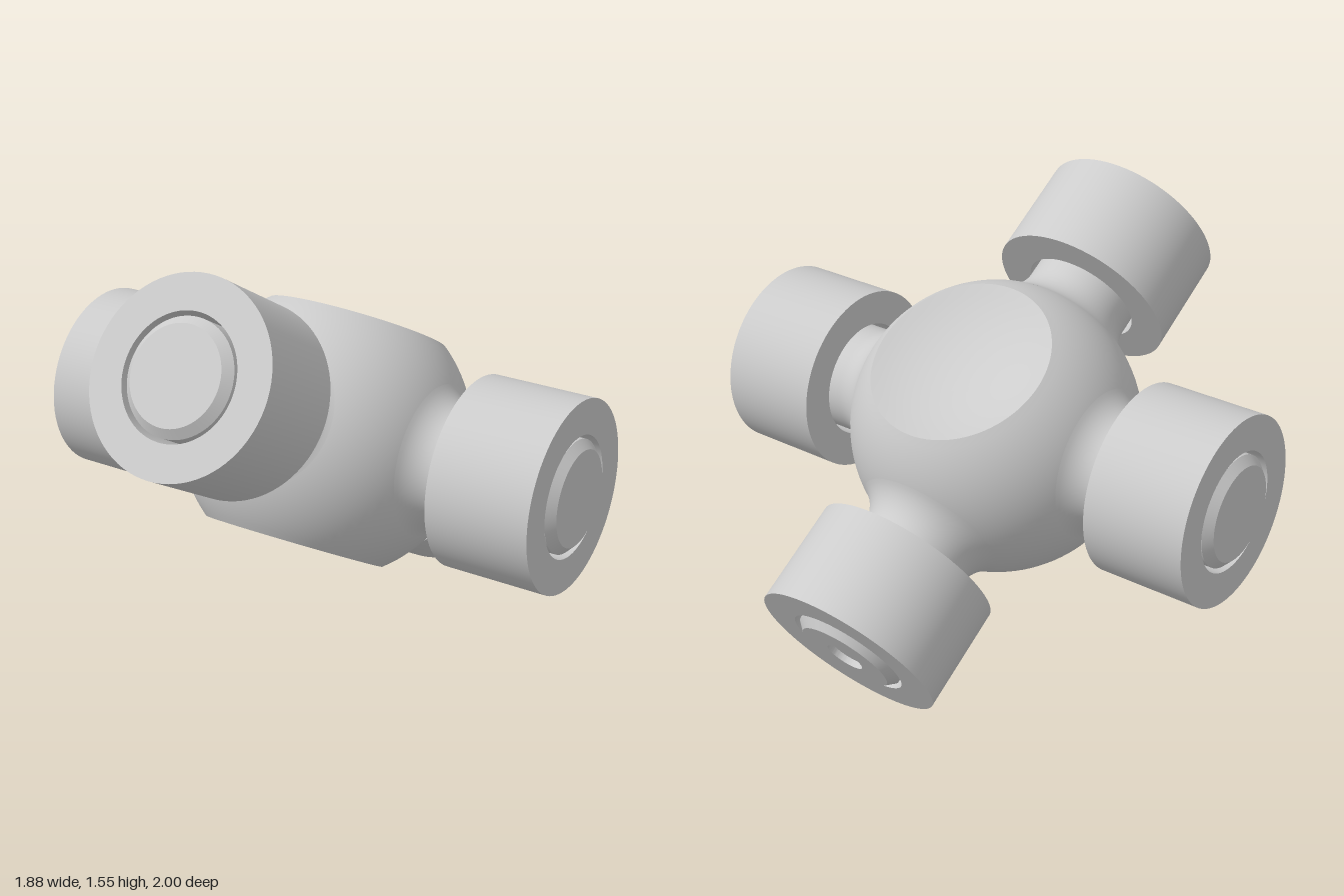
import * as THREE from 'three';
import { toCreasedNormals } from 'three/addons/utils/BufferGeometryUtils.js';

const BODY_R = 0.512;   // spherical hub
const DISH_R = 0.32;    // rim of the hollow on each side of the hub
const DISH_SAG = 0.07;
const PIN_R = 0.195;
const FILLET = 0.145;

// Smooth lathe with sharp edges kept
function lathe(points, segments = 80) {
  const geo = new THREE.LatheGeometry(points.map(([r, y]) => new THREE.Vector2(r, y)), segments);
  return toCreasedNormals(geo, 0.45);
}

function mesh(name, geo, material) {
  const m = new THREE.Mesh(geo, material);
  m.name = name;
  return m;
}

// Sphere with a shallow spherical hollow at both poles
function hubGeometry() {
  const rimY = Math.sqrt(BODY_R ** 2 - DISH_R ** 2);
  const curveR = (DISH_R ** 2 + DISH_SAG ** 2) / (2 * DISH_SAG);
  const dish = [];
  for (let i = 0; i <= 10; i++) {
    const r = DISH_R * i / 10;
    const drop = DISH_SAG - (curveR - Math.sqrt(curveR ** 2 - r ** 2));
    dish.push([r, rimY - drop]);
  }
  const pts = dish.map(([r, y]) => [r, -y]);
  const a = Math.asin(rimY / BODY_R);
  for (let i = 1; i < 32; i++) {
    const t = -a + 2 * a * i / 32;
    pts.push([BODY_R * Math.cos(t), BODY_R * Math.sin(t)]);
  }
  return lathe(pts.concat(dish.slice().reverse()), 96);
}

// Pin that flows out of the hub through a fillet and ends in a chamfer
function pinGeometry(withHole) {
  const cr = PIN_R + FILLET;
  const cy = Math.sqrt((BODY_R + FILLET) ** 2 - cr ** 2);
  const start = Math.atan2(cy, cr);
  const pts = [];
  for (let i = 0; i <= 12; i++) {
    const t = start * (1 - i / 12);
    pts.push([cr - FILLET * Math.cos(t), cy - FILLET * Math.sin(t)]);
  }
  pts.push([PIN_R, 0.955], [0.166, 0.983]);
  if (withHole) pts.push([0.068, 0.983], [0.068, 0.96], [0, 0.96]);
  else pts.push([0, 0.983]);
  return lathe(pts);
}

export function createModel() {
  const material = new THREE.MeshStandardMaterial({ color: 0xcccccc });
  const model = new THREE.Group();
  model.name = 'universalJointCross';

  // Tilted cross: arms along local x and z, hub hollows along local y
  const cross = new THREE.Group();
  cross.name = 'cross';
  cross.position.y = 0.7775;
  cross.rotation.set(0, Math.PI / 6, -THREE.MathUtils.degToRad(30.7), 'YXZ');
  model.add(cross);
  cross.add(mesh('hub', hubGeometry(), material));

  // Bearing cup: open sleeve around each pin
  const cupGeo = lathe([
    [0.21, 0.594], [0.332, 0.594], [0.332, 0.963], [0.21, 0.963], [0.21, 0.594],
  ]);
  const plainPin = pinGeometry(false);
  const drilledPin = pinGeometry(true);

  for (let k = 0; k < 4; k++) {
    const arm = new THREE.Group();
    arm.name = 'arm' + (k + 1);
    arm.rotation.set(0, k * Math.PI / 2, -Math.PI / 2, 'YXZ');
    arm.add(mesh('pin', k === 0 ? drilledPin : plainPin, material));
    arm.add(mesh('bearingCup', cupGeo, material));
    cross.add(arm);
  }
  return model;
}
